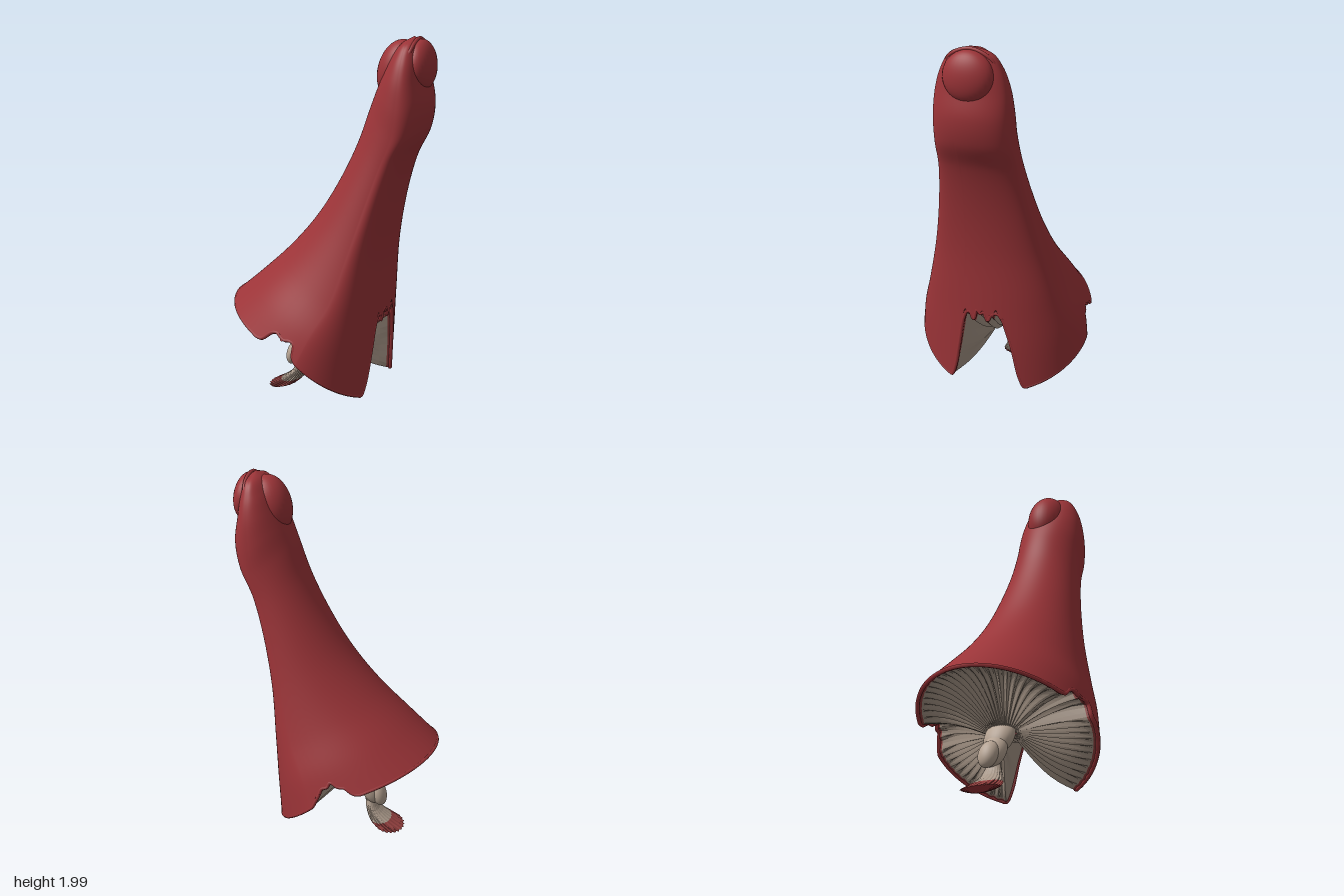
import * as THREE from 'three';
import { mergeVertices } from 'three/addons/utils/BufferGeometryUtils.js';

const V = (x, y, z = 0) => new THREE.Vector3(x, y, z);
const mat = (color, flatShading = false) =>
  new THREE.MeshStandardMaterial({ color, flatShading, side: THREE.DoubleSide });
const red = mat(0x9c3438), redPleat = mat(0x94403f, true), cream = mat(0xb8a594), creamPleat = mat(0xaa998a, true);

// Closed surface from fn(angle, v), v running 0..1
function loft(fn, nu, nv) {
  const pos = [], idx = [];
  for (let j = 0; j <= nv; j++)
    for (let i = 0; i <= nu; i++) {
      const p = fn((i % nu) / nu * Math.PI * 2, j / nv);
      pos.push(p.x, p.y, p.z);
    }
  for (let j = 0; j < nv; j++)
    for (let i = 0; i < nu; i++) {
      const a = j * (nu + 1) + i, b = a + nu + 1;
      idx.push(a, b, a + 1, a + 1, b, b + 1);
    }
  let g = new THREE.BufferGeometry();
  g.setAttribute('position', new THREE.Float32BufferAttribute(pos, 3));
  g.setIndex(idx);
  g = mergeVertices(g, 1e-5);
  g.computeVertexNormals();
  return g;
}

function add(group, name, geo, material) {
  const m = new THREE.Mesh(geo, material);
  m.name = name;
  group.add(m);
  return m;
}

function ellipsoid(group, name, center, radii, tilt, material) {
  const m = add(group, name, new THREE.SphereGeometry(1, 32, 24), material);
  m.position.set(...center);
  m.scale.set(...radii);
  m.rotation.z = tilt;
}

// Guide lines from rim to tip: back edge, side ridge (z = half width), front edge
const back = [[-.55, .57], [-.4, .7], [-.22, .87], [-.06, 1.06], [.07, 1.27], [.165, 1.47], [.225, 1.64],
  [.268, 1.75], [.305, 1.83], [.345, 1.91], [.39, 1.968], [.44, 1.997]];
const ridge = [[0, .36, .475], [.06, .5, .435], [.14, .67, .368], [.21, .92, .297], [.275, 1.15, .248],
  [.345, 1.37, .215], [.395, 1.5, .207], [.415, 1.65, .203], [.425, 1.79, .187], [.43, 1.89, .155], [.435, 1.96, .108], [.44, 1.997, 0]];
const front = [[.3, .09], [.31, .35], [.318, .6], [.335, .9], [.38, 1.17], [.445, 1.39], [.515, 1.53],
  [.537, 1.66], [.515, 1.79], [.5, 1.89], [.48, 1.965], [.44, 1.997]];
const [backLine, ridgeLine, frontLine] = [back, ridge, front].map(
  l => new THREE.CatmullRomCurve3(l.map(p => V(...p))));

// Point on the cap: angle 0 faces +x, t = 0 rim, 1 tip; the front flattens above the rim
function capPoint(a, t) {
  const B = backLine.getPoint(t), M = ridgeLine.getPoint(t), F = frontLine.getPoint(t);
  const c = Math.cos(a), k = Math.pow(Math.abs(c), c > 0 ? 1.15 - .35 * Math.min(t * 3, 1) : 1);
  const p = M.clone().lerp(c > 0 ? F : B, k);
  p.z = M.z * Math.sin(a);
  return p;
}

// Torn rim: a large bite in front and a small one on each side
function tear(a) {
  const d = THREE.MathUtils.radToDeg(Math.atan2(Math.sin(a), Math.cos(a)));
  const bite = (x, half, flat) => 1 - THREE.MathUtils.smoothstep(Math.abs(x), flat, half);
  const jag = Math.sin(d * .47) * .06 + Math.sin(d * 1.13 + 1) * .05;
  const main = bite(d, 27, 15), side = bite(Math.abs(d) - 103, 13, 5);
  return (main * (1.8 + jag * 1.4) + side * (.55 + jag * 1.3)) / 11;
}

// Pleated underside between the rim and the stalk, sagging in front and arched behind
const hub = V(-.1, .36);
function gillPoint(a, s) {
  const rim = capPoint(a, tear(a));
  const end = V(hub.x + .05 * Math.cos(a), hub.y, .07 * Math.sin(a));
  const p = rim.lerp(end, s);
  p.y += Math.sin(Math.PI * s) * (.015 - .055 * Math.cos(a) + .014 * Math.cos(a * 60));
  return p;
}

// Broken flake at the foot of the stalk, its section flaring toward the tip
const flakeMid = new THREE.CatmullRomCurve3([V(-.185, .18), V(-.205, .12), V(-.25, .07), V(-.3, .035)]);
const flakeSize = new THREE.CatmullRomCurve3([V(.025, .035), V(.035, .06), V(.06, .088), V(.078, .1)]);
function flakePoint(a, t) {
  const c = flakeMid.getPoint(t), r = flakeSize.getPoint(t);
  const w = 1 + .06 * t * Math.cos(a * 22);
  return V(c.x + Math.cos(a) * r.x * w, c.y + Math.cos(a) * r.x * .15 * t, Math.sin(a) * r.y * w);
}

export function createModel() {
  const model = new THREE.Group();
  model.name = 'tornCap';

  add(model, 'capShell', loft((a, v) => {
    const t0 = tear(a);
    return capPoint(a, t0 + (1 - t0) * v);
  }, 360, 72), red);

  // Rounded lip along the torn rim
  const lip = new THREE.CatmullRomCurve3(Array.from({ length: 120 }, (_, i) => {
    const a = i / 120 * Math.PI * 2;
    return capPoint(a, tear(a)).lerp(V(hub.x, hub.y + .1), .02);
  }), true);
  add(model, 'rimLip', new THREE.TubeGeometry(lip, 360, .011, 6, true), red);

  // Bulges at the tip
  ellipsoid(model, 'tipFrontBulge', [.485, 1.86, 0], [.066, .125, .128], .08, red);
  ellipsoid(model, 'tipBackBulge', [.36, 1.825, 0], [.105, .158, .11], -.25, red);

  // Raised seam between the two bulges
  const seam = new THREE.CatmullRomCurve3([V(.44, 1.87, .145), V(.462, 1.95, .1),
    V(.465, 1.988, 0), V(.462, 1.95, -.1), V(.44, 1.87, -.145)]);
  add(model, 'tipSeam', new THREE.TubeGeometry(seam, 40, .01, 8), red);

  // Gills, tinted near the rim
  add(model, 'gillEdge', loft((a, v) => gillPoint(a, .08 * (1 - v)), 360, 2), redPleat);
  add(model, 'gills', loft((a, v) => gillPoint(a, 1 - .92 * v), 360, 8), creamPleat);

  // Knobbly stalk
  ellipsoid(model, 'stalkTop', [-.135, .34, 0], [.055, .11, .085], -.45, cream);
  ellipsoid(model, 'stalkMiddle', [-.185, .25, 0], [.05, .1, .07], -.45, cream);
  ellipsoid(model, 'stalkLobe', [-.235, .22, 0], [.04, .075, .055], -.3, cream);

  // Flake with a tinted, rounded end
  add(model, 'flakeGills', loft((a, v) => flakePoint(a, .65 * (1 - v)), 132, 6), creamPleat);
  add(model, 'flakeSkin', loft((a, v) => flakePoint(a, 1 - .35 * v), 132, 6), redPleat);
  add(model, 'flakeEnd', loft((a, v) => {
    const p = flakePoint(a, 1).lerp(V(-.31, .03), 1 - v);
    p.y -= .022 * (1 - v * v);
    return p;
  }, 132, 5), red);
  return model;
}
